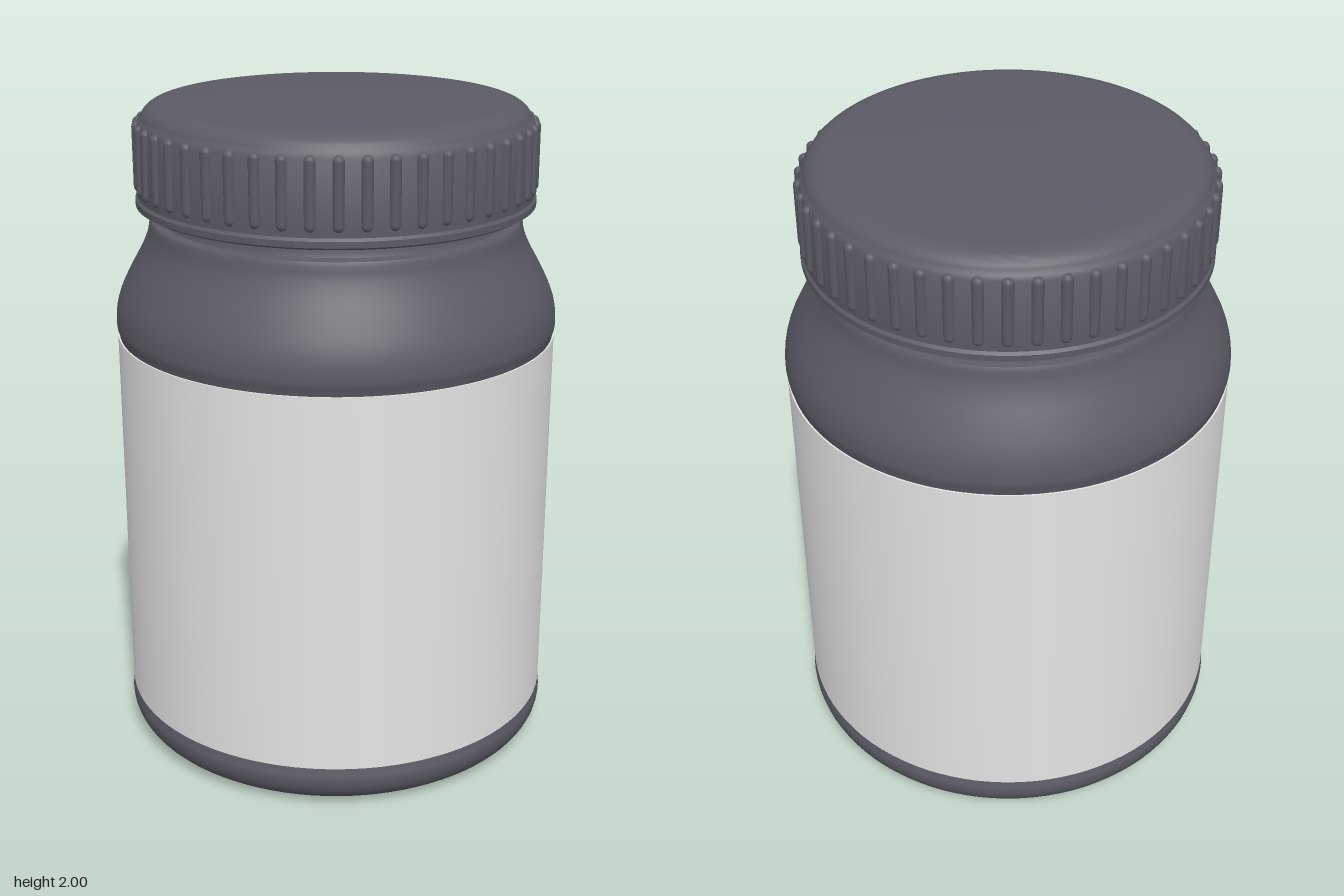
import * as THREE from 'three';
import { toCreasedNormals } from 'three/addons/utils/BufferGeometryUtils.js';

const plastic = new THREE.MeshStandardMaterial({ color: 0x5a5b64 });
plastic.name = 'dark plastic';
const paper = new THREE.MeshStandardMaterial({ color: 0xe4e4e4 });
paper.name = 'label paper';

const RIBS = 48;

// Turned part: points run from the bottom axis outward and up, giving outward faces
function turned(name, points, material) {
  const profile = points.map(([r, y]) => new THREE.Vector2(r, y));
  const geometry = toCreasedNormals(new THREE.LatheGeometry(profile, 96), 0.6);
  const mesh = new THREE.Mesh(geometry, material);
  mesh.name = name;
  return mesh;
}

// Quarter-round corner between two profile points
function corner(cx, cy, rx, ry, from, to, steps = 8) {
  return Array.from({ length: steps + 1 }, (_, i) => {
    const a = from + (to - from) * i / steps;
    return [cx + rx * Math.cos(a), cy + ry * Math.sin(a)];
  });
}

export function createModel() {
  const model = new THREE.Group();
  model.name = 'jar';

  // Shoulder sweep from the label bead up to the collar
  const shoulder = new THREE.SplineCurve([
    [0.669, 1.345], [0.665, 1.39], [0.65, 1.44], [0.618, 1.505],
    [0.585, 1.565], [0.566, 1.61], [0.56, 1.64],
  ].map(([x, y]) => new THREE.Vector2(x, y))).getPoints(20).map(p => [p.x, p.y]);

  // Bottle with rounded foot, recessed label panel, shoulder and neck
  model.add(turned('bottle', [
    [0, 0],
    ...corner(0.555, 0.1, 0.114, 0.1, -Math.PI / 2, 0, 10),
    [0.668, 0.115], [0.661, 0.13], [0.661, 1.315], [0.667, 1.328],
    ...shoulder,
    [0.553, 1.653], [0.525, 1.657], [0.52, 1.67], [0.52, 1.74], [0, 1.74],
  ], plastic));

  // Wrap-around label
  model.add(turned('label', [
    [0.661, 0.14], [0.666, 0.14], [0.666, 1.305], [0.661, 1.305],
  ], paper));

  // Screw cap with tamper ring below the grip
  const cap = new THREE.Group();
  cap.name = 'cap';
  cap.add(turned('capShell', [
    [0, 1.695], [0.585, 1.695], [0.597, 1.702], [0.597, 1.72], [0.59, 1.728],
    [0.59, 1.75], [0.587, 1.94], [0.58, 1.952],
    ...corner(0.5, 1.95, 0.075, 0.05, 0.15, Math.PI / 2),
    [0, 2],
  ], plastic));

  // Grip ribs
  const ribGeometry = new THREE.CapsuleGeometry(0.017, 0.175, 4, 10);
  for (let i = 0; i < RIBS; i++) {
    const a = i / RIBS * Math.PI * 2;
    const rib = new THREE.Mesh(ribGeometry, plastic);
    rib.name = 'gripRib';
    rib.position.set(Math.sin(a) * 0.584, 1.846, Math.cos(a) * 0.584);
    cap.add(rib);
  }
  model.add(cap);

  return model;
}
